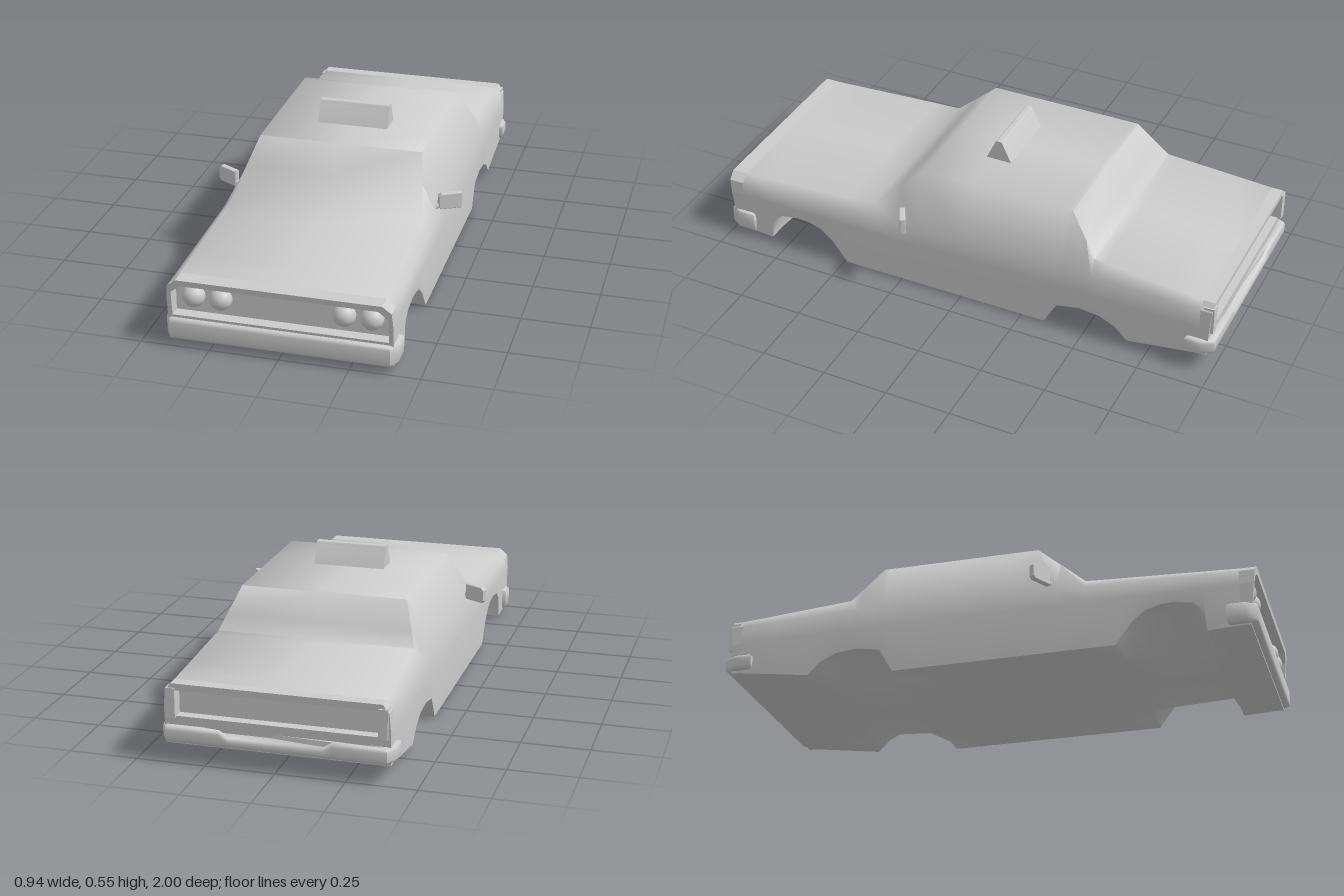
import * as THREE from 'three';
import { toCreasedNormals } from 'three/addons/utils/BufferGeometryUtils.js';

const grey = new THREE.MeshStandardMaterial({ color: 0xcccccc, side: THREE.DoubleSide });

function add(parent, name, geometry) {
  const mesh = new THREE.Mesh(geometry, grey);
  mesh.name = name;
  parent.add(mesh);
  return mesh;
}

// Linear interpolation in rows [z, a, b, ...] sorted by rising z
function at(rows, z) {
  if (z <= rows[0][0]) return rows[0].slice(1);
  for (let i = 1; i < rows.length; i++) {
    const p = rows[i - 1], q = rows[i];
    if (z <= q[0]) {
      const t = (z - p[0]) / (q[0] - p[0]);
      return p.slice(1).map((v, k) => v + (q[k + 1] - v) * t);
    }
  }
  return rows[rows.length - 1].slice(1);
}

// z, top half width, top y, shoulder half width, shoulder y
const UPPER = [
  [-0.94, 0.375, 0.285, 0.397, 0.255], [-0.52, 0.365, 0.322, 0.397, 0.265],
  [-0.41, 0.31, 0.465, 0.393, 0.262], [0.19, 0.31, 0.465, 0.393, 0.255],
  [0.38, 0.36, 0.286, 0.393, 0.25], [0.94, 0.365, 0.258, 0.397, 0.232],
];
// z, floor y
const FLOOR = [[-0.94, 0.062], [-0.67, 0.022], [-0.34, 0], [0.5, 0], [0.94, 0.02]];
// z, height of the wheel arch opening
const ARCH = [
  [-0.67, 0], [-0.62, 0.07], [-0.56, 0.098], [-0.48, 0.107], [-0.39, 0.09], [-0.34, 0],
  [0.49, 0], [0.55, 0.08], [0.6, 0.122], [0.65, 0.137], [0.7, 0.141], [0.77, 0.13],
  [0.81, 0.1], [0.82, 0],
];

// Right half of a body section, from the middle of the floor to the middle of the roof
function halfSection(z) {
  const [tx, ty, sx, sy] = at(UPPER, z);
  const [floor] = at(FLOOR, z);
  const arch = Math.max(floor, at(ARCH, z)[0]);
  return [
    [0, floor], [0.22, floor], [0.32, arch], [0.4, arch],
    [0.402, 0.18], [sx, sy], [tx, ty], [0, ty],
  ];
}

function section(z) {
  const half = halfSection(z);
  return half.concat(half.slice(1, -1).reverse().map(([x, y]) => [-x, y]));
}

function bodyGeometry() {
  const zs = [...new Set([...UPPER, ...FLOOR, ...ARCH].map((r) => r[0]))]
    .concat([-0.8, -0.2, 0, 0.28]).sort((a, b) => a - b);
  const pos = [], index = [];
  const n = section(0).length;
  zs.forEach((z) => section(z).forEach(([x, y]) => pos.push(x, y, z)));
  for (let i = 0; i < zs.length - 1; i++) {
    for (let j = 0; j < n; j++) {
      const k = (j + 1) % n;
      const a = i * n + j, b = i * n + k, c = b + n, d = a + n;
      index.push(a, b, c, a, c, d);
    }
  }
  const g = new THREE.BufferGeometry();
  g.setAttribute('position', new THREE.Float32BufferAttribute(pos, 3));
  g.setIndex(index);
  return toCreasedNormals(g, 1.2);
}

const toPoints = (list) => list.map(([x, y]) => new THREE.Vector2(x, y));

// End frame with a recessed opening; its outer face leans back towards the bottom
function endPanel(parent, name, z, hole, depth, lean) {
  const group = new THREE.Group();
  group.name = name;
  const outline = toPoints(section(z));
  const top = Math.max(...outline.map((p) => p.y));
  const shape = new THREE.Shape(outline);
  shape.holes.push(new THREE.Path(toPoints(hole)));
  const frame = new THREE.ExtrudeGeometry(shape, { depth, bevelEnabled: false });
  const p = frame.attributes.position;
  for (let i = 0; i < p.count; i++) {
    if (p.getZ(i) > depth / 2) p.setZ(i, depth - (top - p.getY(i)) * lean);
  }
  frame.computeVertexNormals();
  add(group, name + 'Frame', frame);
  add(group, name + 'Back', new THREE.ShapeGeometry(new THREE.Shape(toPoints(hole))));
  group.position.z = z;
  if (z < 0) group.rotation.y = Math.PI;
  parent.add(group);
}

// Bar that wraps round both corners, with an optional dip in the middle
function bumperGeometry(y0, y1, dip) {
  const bevel = 0.014;
  const outer = [[0.402, 0.905], [0.402, 0.955], [0.385, 0.986], [0.2, 0.986], [0.17, 0.986]];
  const inner = [[0.17, 0.955], [0.2, 0.955], [0.37, 0.955], [0.385, 0.905]];
  const mirror = (list) => list.map(([x, z]) => [-x, z]).reverse();
  const shape = new THREE.Shape(toPoints([...outer, ...mirror(outer), ...mirror(inner), ...inner]));
  const g = new THREE.ExtrudeGeometry(shape, {
    depth: y1 - y0 - 2 * bevel, bevelSize: bevel, bevelThickness: bevel, bevelSegments: 3,
  });
  g.rotateX(Math.PI / 2);
  g.translate(0, y1 - bevel, 0);
  const p = g.attributes.position;
  for (let i = 0; i < p.count; i++) {
    if (Math.abs(p.getX(i)) < 0.185 && p.getY(i) > (y0 + y1) / 2) p.setY(i, p.getY(i) - dip);
  }
  return toCreasedNormals(g, 0.9);
}

export function createModel() {
  const car = new THREE.Group();
  car.name = 'car';

  add(car, 'body', bodyGeometry());

  // Grille and rear panel
  endPanel(car, 'grille', 0.94, [
    [-0.385, 0.115], [0.385, 0.115], [0.385, 0.208], [0.35, 0.236], [-0.35, 0.236], [-0.385, 0.208],
  ], 0.06, 0.11);
  endPanel(car, 'rearPanel', -0.94, [
    [-0.36, 0.165], [0.36, 0.165], [0.36, 0.26], [-0.36, 0.26],
  ], 0.045, 0.06);

  // Bumpers
  add(car, 'frontBumper', bumperGeometry(0.025, 0.105, 0));
  add(car, 'rearBumper', bumperGeometry(0.073, 0.132, 0.02)).rotation.y = Math.PI;

  // Roof sign: a wedge with a narrow rounded top
  const wedge = new THREE.Shape();
  wedge.moveTo(-0.05, 0);
  wedge.lineTo(0.05, 0);
  wedge.lineTo(0.017, 0.07);
  wedge.quadraticCurveTo(0.014, 0.082, 0.006, 0.082);
  wedge.lineTo(-0.006, 0.082);
  wedge.quadraticCurveTo(-0.014, 0.082, -0.017, 0.07);
  const signGeometry = new THREE.ExtrudeGeometry(wedge, { depth: 0.27, bevelEnabled: false, curveSegments: 4 });
  signGeometry.translate(0, 0, -0.135);
  signGeometry.rotateY(Math.PI / 2);
  add(car, 'roofSign', toCreasedNormals(signGeometry, 0.6)).position.set(0, 0.464, -0.032);

  for (const side of [-1, 1]) {
    const label = side > 0 ? 'left' : 'right';

    // Twin headlights
    for (const [kind, x] of [['Inner', 0.22], ['Outer', 0.318]]) {
      add(car, label + kind + 'Headlight', new THREE.SphereGeometry(0.041, 24, 16))
        .position.set(side * x, 0.18, 0.947);
    }

    // Tail light
    add(car, label + 'TailLight', new THREE.BoxGeometry(0.034, 0.108, 0.04))
      .position.set(side * 0.376, 0.215, -0.97);

    // Wing mirror: housing swept back on a short stalk
    const mirror = new THREE.Group();
    mirror.name = label + 'Mirror';
    const housing = new THREE.Shape(toPoints([
      [-0.042, -0.02], [-0.034, -0.028], [0.042, -0.028], [0.042, 0.028], [-0.034, 0.028], [-0.042, 0.02],
    ]));
    const housingGeometry = new THREE.ExtrudeGeometry(housing, {
      depth: 0.012, bevelSize: 0.003, bevelThickness: 0.005, bevelSegments: 2,
    });
    housingGeometry.translate(0, 0, -0.006);
    add(mirror, label + 'MirrorHousing', housingGeometry);
    const stalk = add(mirror, label + 'MirrorStalk', new THREE.CylinderGeometry(0.007, 0.011, 0.05, 10));
    stalk.position.set(side * -0.045, -0.017, 0);
    stalk.rotation.z = side * -1.1;
    mirror.position.set(side * 0.426, 0.302, 0.225);
    mirror.rotation.y = side * 0.5;
    car.add(mirror);
  }
  return car;
}
